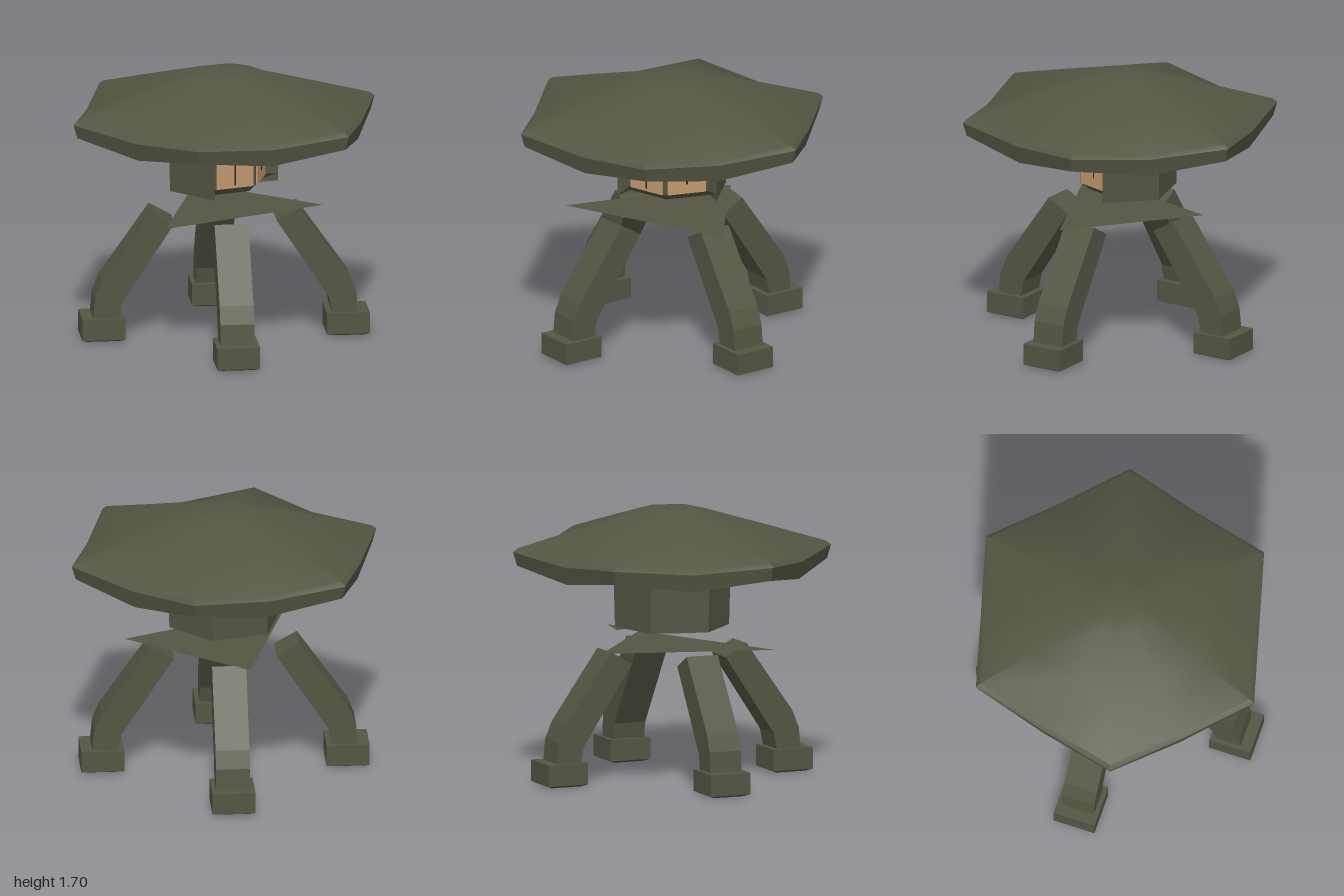
import * as THREE from 'three';
import { toCreasedNormals } from 'three/addons/utils/BufferGeometryUtils.js';

// Skin closed rings of [x, y, z] points, listed bottom to top and
// counterclockwise seen from above; both ends are closed with a fan.
function loft(rings, crease) {
  const pos = [];
  const tri = (...pts) => pts.forEach((p) => pos.push(...p));
  const n = rings[0].length;
  const centre = (ring) => [0, 1, 2].map((k) => ring.reduce((s, p) => s + p[k], 0) / n);
  const first = rings[0], last = rings[rings.length - 1];
  const c0 = centre(first), c1 = centre(last);
  for (let j = 0; j < n; j++) {
    const k = (j + 1) % n;
    for (let i = 0; i + 1 < rings.length; i++) {
      const a = rings[i], b = rings[i + 1];
      tri(a[j], a[k], b[k]);
      tri(a[j], b[k], b[j]);
    }
    tri(c0, first[k], first[j]);
    tri(c1, last[j], last[k]);
  }
  const g = new THREE.BufferGeometry();
  g.setAttribute('position', new THREE.Float32BufferAttribute(pos, 3));
  return toCreasedNormals(g, crease);
}

export function createModel() {
  const model = new THREE.Group();
  const olive = new THREE.MeshStandardMaterial({ color: 0x555544 });
  olive.name = 'olive';
  const oliveSheet = new THREE.MeshStandardMaterial({ color: 0x555544, side: THREE.DoubleSide });
  oliveSheet.name = 'olive sheet';
  const tan = new THREE.MeshStandardMaterial({ color: 0xc49a70 });
  tan.name = 'tan';
  const dark = new THREE.MeshStandardMaterial({ color: 0x26251c });
  dark.name = 'dark slit';

  const add = (name, geometry, material, parent = model) => {
    const mesh = new THREE.Mesh(geometry, material);
    mesh.name = name;
    parent.add(mesh);
    return mesh;
  };

  // Hexagonal roof: corners lift above the middles of the sides
  const hexRing = (r, yCorner, yMiddle) => Array.from({ length: 12 }, (_, i) => {
    const a = (i * Math.PI) / 6;
    const rr = i % 2 ? r * 0.866 : r;
    return [Math.sin(a) * rr, i % 2 ? yMiddle : yCorner, Math.cos(a) * rr];
  });
  add('roof', loft([
    hexRing(0.3, 1.27, 1.27),
    hexRing(0.975, 1.355, 1.295),
    hexRing(1, 1.44, 1.405),
    hexRing(0.97, 1.465, 1.425),
    hexRing(0.6, 1.575, 1.555),
    hexRing(0.2, 1.69, 1.69),
    hexRing(0.1, 1.7, 1.7),
  ], 0.6), olive);

  // Cabin: hexagonal room with a recessed, pointed front
  const cabinRing = (y, x, front) => [
    [0, y, front], [0.25, y, front - 0.13], [x, y, 0.18], [x, y, -0.18],
    [0, y, -0.36], [-x, y, -0.18], [-x, y, 0.18], [-0.25, y, front - 0.13],
  ];
  add('cabin', loft([
    cabinRing(0.955, 0.31, 0.2),
    cabinRing(1.0, 0.312, 0.25),
    cabinRing(1.29, 0.32, 0.25),
  ], 0.3), olive);

  // Two window panels, each with a narrow slit
  for (const [side, slitY] of [[1, 1.155], [-1, 1.11]]) {
    const pane = new THREE.Group();
    pane.name = side > 0 ? 'leftWindow' : 'rightWindow';
    pane.position.set(side * 0.126, 1.133, 0.191);
    pane.rotation.y = side * 0.48;
    add('windowPanel', new THREE.BoxGeometry(0.245, 0.265, 0.009), tan, pane);
    add('windowSlit', new THREE.BoxGeometry(0.01, 0.185, 0.006), dark, pane)
      .position.set(0, slitY - 1.133, 0.004);
    model.add(pane);
  }

  // Thin loose sheets under the cabin
  const sheet = (name, y, corners) => {
    const g = new THREE.BufferGeometry();
    const pts = corners.flatMap(([x, z]) => [x, y, z]);
    g.setAttribute('position', new THREE.Float32BufferAttribute(pts, 3));
    g.computeVertexNormals();
    add(name, g, oliveSheet);
  };
  sheet('largeSheet', 0.828, [[0.4, 0.47], [0.29, -0.47], [-0.66, 0.07]]);
  sheet('leftSmallSheet', 0.935, [[0.16, 0.05], [0.43, 0], [0.3, -0.18]]);
  sheet('rightSmallSheet', 0.935, [[-0.22, 0], [-0.01, 0.05], [-0.1, -0.18]]);

  // Leg built along +z: each section is inner z, inner y, outer z, outer y
  const w = 0.106;
  const legGeometry = loft([
    [0.67, 0.13, 0.83, 0.13],
    [0.645, 0.25, 0.815, 0.28],
    [0.6, 0.32, 0.77, 0.39],
    [0.318, 0.75, 0.46, 0.83],
  ].map(([zi, yi, zo, yo]) => [[-w, yo, zo], [w, yo, zo], [w, yi, zi], [-w, yi, zi]]), 0.2);
  const square = (h, y) => [[-h, y, h], [h, y, h], [h, y, -h], [-h, y, -h]];
  const footGeometry = loft([square(0.1, 0), square(0.134, 0.015), square(0.134, 0.15)], 0.1);
  const names = ['frontLeft', 'backLeft', 'backRight', 'frontRight'];
  names.forEach((name, i) => {
    const leg = new THREE.Group();
    leg.name = name + 'Leg';
    leg.rotation.y = Math.PI / 4 + (i * Math.PI) / 2;
    add('strut', legGeometry, olive, leg);
    add('foot', footGeometry, olive, leg).position.z = 0.764;
    model.add(leg);
  });

  return model;
}
